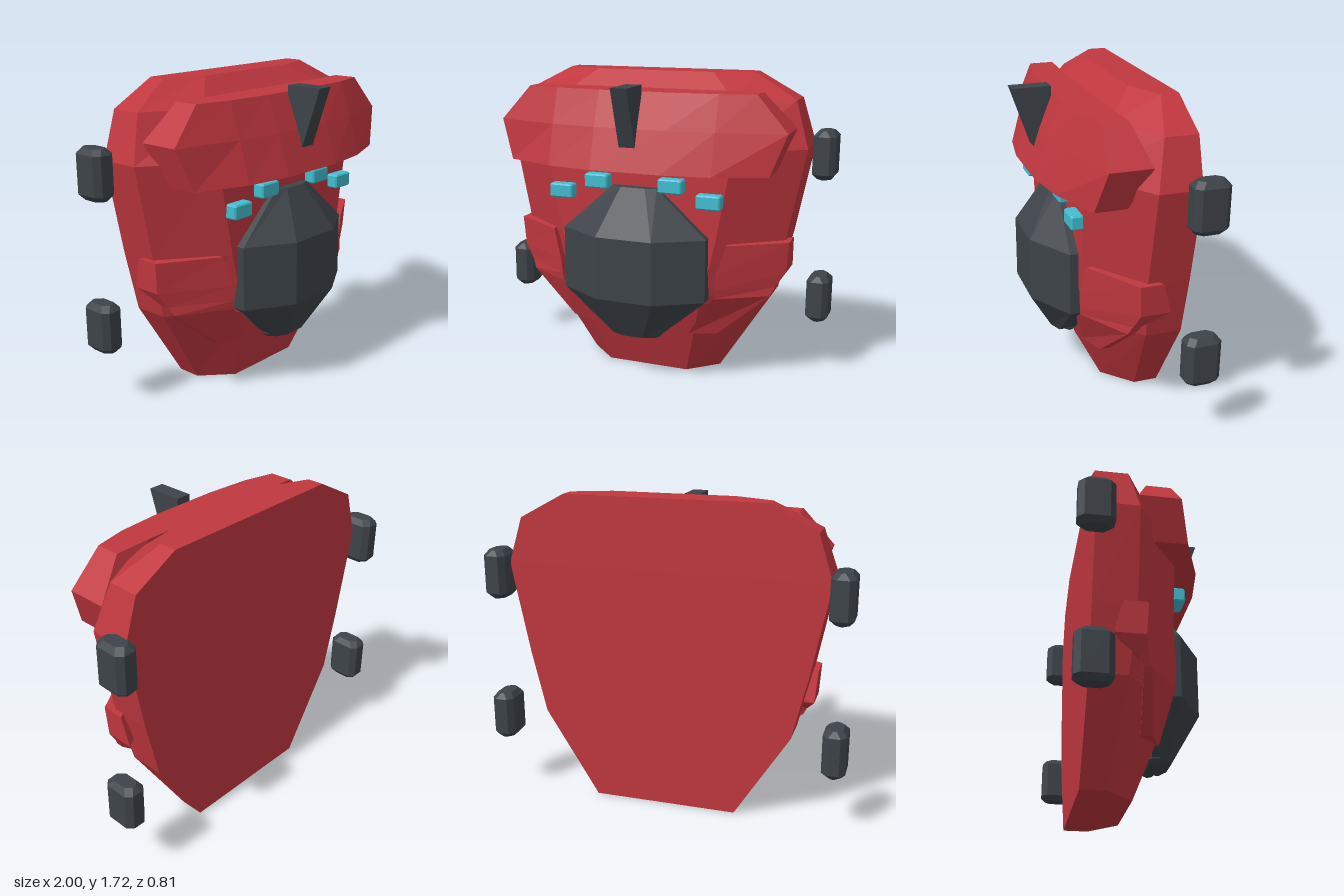
import * as THREE from 'three';

const mat = (name, color) => Object.assign(new THREE.MeshStandardMaterial({ color, flatShading: true }), { name });

// Closed solid through horizontal sections: [[y, [[x, z], ...]], ...], points counter-clockwise from above
function loft(sections) {
  const pos = [], n = sections[0][1].length;
  const P = (i, j) => {
    const [y, pts] = sections[i];
    return [pts[j % n][0], y, pts[j % n][1]];
  };
  const tri = (a, b, c) => pos.push(...a, ...b, ...c);
  const last = sections.length - 1;
  for (let i = 0; i < last; i++) for (let j = 0; j < n; j++) {
    tri(P(i, j), P(i, j + 1), P(i + 1, j + 1));
    tri(P(i, j), P(i + 1, j + 1), P(i + 1, j));
  }
  for (let j = 1; j < n - 1; j++) {
    tri(P(0, 0), P(0, j + 1), P(0, j));
    tri(P(last, 0), P(last, j), P(last, j + 1));
  }
  const g = new THREE.BufferGeometry();
  g.setAttribute('position', new THREE.Float32BufferAttribute(pos, 3));
  g.computeVertexNormals();
  return g;
}

const mirrored = pts => pts.map(([x, z]) => [-x, z]).reverse();
const symmetric = half => [...half, ...mirrored(half)];

// Box with chamfered edges
function chamferBox(w, h, d, b) {
  const ring = s => {
    const x = w / 2 - s, z = d / 2 - s;
    return symmetric([[x - b, z], [x, z - b], [x, b - z], [x - b, -z]]);
  };
  return loft([[-h / 2, ring(b * 0.8)], [b - h / 2, ring(0)], [h / 2 - b, ring(0)], [h / 2, ring(b * 0.8)]]);
}

export function createModel() {
  const model = new THREE.Group();
  model.name = 'helmetHead';
  const red = mat('red', 0xc0373f), dark = mat('charcoal', 0x3d4349), cyan = mat('cyan', 0x42bdd0);
  const add = (name, geo, m, x = 0, y = 0, z = 0) => {
    const mesh = new THREE.Mesh(geo, m);
    mesh.name = name;
    mesh.position.set(x, y, z);
    model.add(mesh);
    return mesh;
  };

  // Head shell: y, side x, side z, front x, front z
  add('headShell', loft([
    [0, 0.40, -0.17, 0.24, -0.02],
    [0.48, 0.70, -0.11, 0.37, 0.165],
    [0.82, 0.78, -0.08, 0.45, 0.165],
    [1.33, 0.88, -0.08, 0.54, 0.165],
    [1.58, 0.80, -0.13, 0.50, 0.03],
    [1.715, 0.55, -0.21, 0.34, -0.12],
  ].map(([y, x, zs, xf, zf]) => [y, symmetric([[xf, zf], [x, zs], [x, -0.305]])])), red);

  // Brow: y, outer x, front z at centre, middle and end, back z at end
  add('brow', loft([
    [1.22, 0.74, 0.335, 0.295, 0.19, 0.02],
    [1.44, 0.82, 0.265, 0.235, 0.145, -0.08],
    [1.63, 0.65, 0.19, 0.17, 0.125, -0.01],
  ].map(([y, x, z0, z1, z2, zb]) => [y, symmetric([[0.2, z0], [0.46, z1], [x, z2], [x, zb], [0.43, 0]])])), red);

  // Crest fin: tapered wedge
  const fin = (y, zf) => [y, symmetric([[0.045, zf], [0.045, 0.195]])];
  add('crestFin', loft([fin(1.2, 0.245), fin(1.665, 0.405)]), dark);

  // Face mask: y, inner x, front z, outer x, outer z
  add('faceMask', loft([
    [0.26, 0.06, 0.22, 0.13, 0.19],
    [0.51, 0.16, 0.36, 0.415, 0.21],
    [0.86, 0.16, 0.36, 0.415, 0.21],
    [1.115, 0.07, 0.215, 0.13, 0.19],
  ].map(([y, xi, zf, xo, zo]) => [y, symmetric([[xi, zf], [xo, zo], [xo, 0.1]])])), dark);
  add('chinBlock', chamferBox(0.29, 0.18, 0.08, 0.02), dark, 0, 0.335, 0.125);

  // Cheek plates: y, inner x, inner z, outer x, outer z, back z
  const cheek = [
    [0.28, 0.29, 0.11, 0.44, 0.05, -0.01],
    [0.52, 0.445, 0.165, 0.72, 0.0, -0.04],
    [0.57, 0.455, 0.17, 0.745, -0.02, -0.07],
    [0.655, 0.46, 0.175, 0.80, -0.04, -0.20],
    [0.825, 0.51, 0.155, 0.81, -0.03, -0.155],
  ].map(([y, xi, zi, xo, zo, zb]) => [y, [[xi, zi], [xo, zo], [xo, zb], [xi, Math.min(0.02, zi - 0.1)]]]);
  add('leftCheekPlate', loft(cheek), red);
  add('rightCheekPlate', loft(cheek.map(([y, p]) => [y, mirrored(p)])), red);

  for (const [side, s] of [['left', 1], ['right', -1]]) {
    // Brow lights
    add(side + 'InnerLight', chamferBox(0.135, 0.078, 0.08, 0.008), cyan, s * 0.213, 1.137, 0.187);
    add(side + 'OuterLight', chamferBox(0.135, 0.078, 0.08, 0.008), cyan, s * 0.425, 1.067, 0.187);
    // Side blocks
    add(side + 'UpperBlock', chamferBox(0.125, 0.268, 0.187, 0.03), dark, s * 0.9375, 1.272, -0.31);
    add(side + 'LowerBlock', chamferBox(0.125, 0.268, 0.187, 0.03), dark, s * 0.9375, 0.449, -0.31);
  }
  return model;
}
